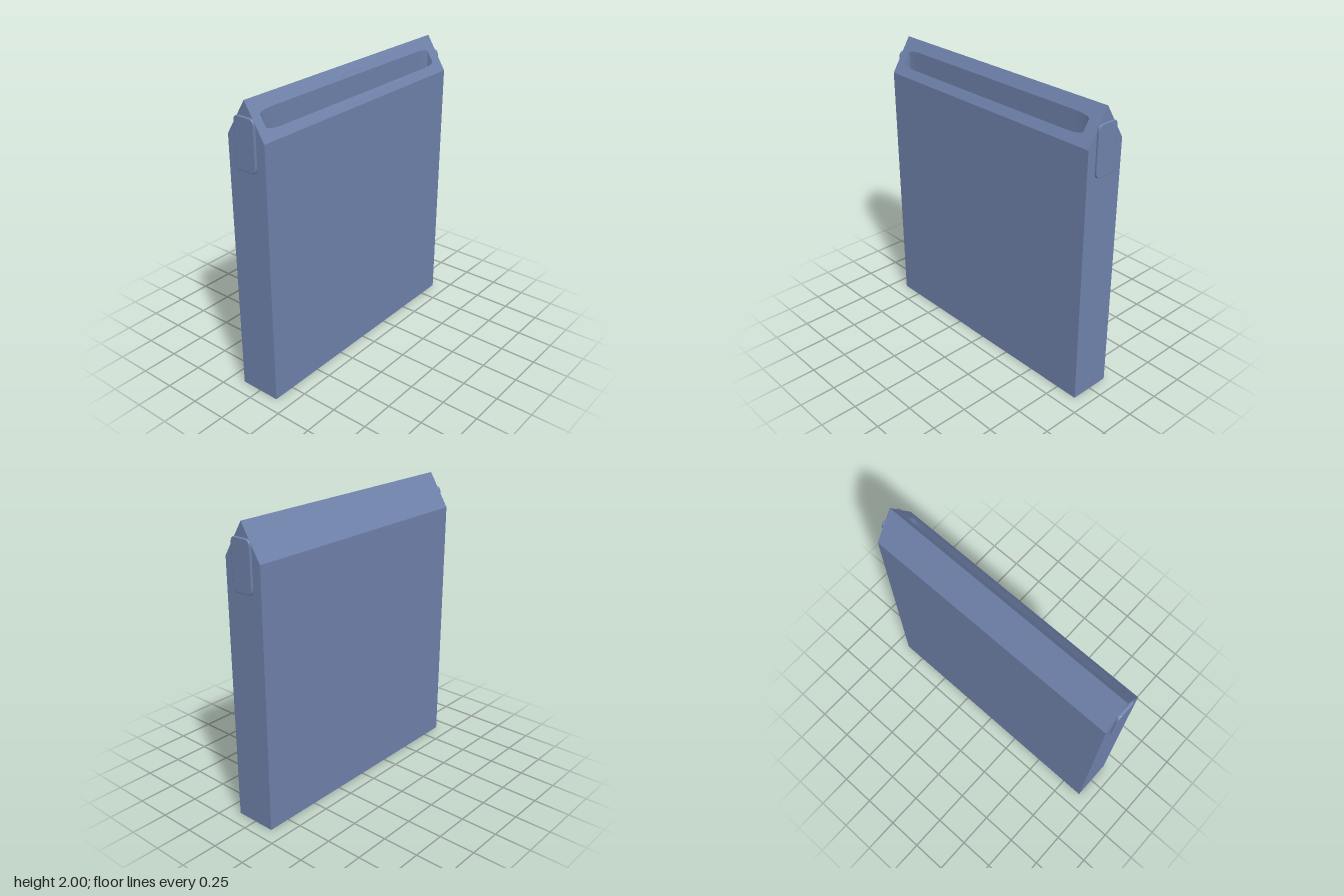
import * as THREE from 'three';

const W = 0.905, D = 0.145, SHOULDER = 1.77, TOP = 2;
const SLOPE = (TOP - SHOULDER) / D;
const FLOOR = 1.0; // bottom of the slot pocket

// Flat-shaded surface from quads, corners counter-clockwise
function quads(list) {
  const pos = [];
  for (const [a, b, c, d] of list) pos.push(...a, ...b, ...c, ...a, ...c, ...d);
  const g = new THREE.BufferGeometry();
  g.setAttribute('position', new THREE.Float32BufferAttribute(pos, 3));
  g.computeVertexNormals();
  return g;
}

// Shape drawn in (x, -z), lifted to height y(z)
function plan(shape, height) {
  const g = new THREE.ShapeGeometry(shape, 8), p = g.attributes.position;
  for (let i = 0; i < p.count; i++) {
    const z = -p.getY(i);
    p.setXYZ(i, p.getX(i), height(z), z);
  }
  g.computeVertexNormals();
  return g;
}

function roundedRect(x0, y0, x1, y1, rx, ry, nose = 0) {
  // nose: extra inset of the corner curve's control point
  const s = new THREE.Shape();
  s.moveTo(x0 + rx, y0);
  s.lineTo(x1 - rx, y0);
  s.quadraticCurveTo(x1 - nose, y0, x1, y0 + ry);
  s.lineTo(x1, y1 - ry);
  s.quadraticCurveTo(x1 - nose, y1, x1 - rx, y1);
  s.lineTo(x0 + rx, y1);
  s.quadraticCurveTo(x0 + nose, y1, x0, y1 - ry);
  s.lineTo(x0, y0 + ry);
  s.quadraticCurveTo(x0 + nose, y0, x0 + rx, y0);
  return s;
}

export function createModel() {
  const root = new THREE.Group();
  root.name = 'slottedCase';
  const mat = new THREE.MeshStandardMaterial({ color: 0x6f82ab });
  const add = (name, geo, parent = root) => {
    const m = new THREE.Mesh(geo, mat);
    m.name = name;
    parent.add(m);
    return m;
  };
  const slopeY = z => TOP - SLOPE * z;

  // Case walls: every side of the profile except the slotted front slope
  const profile = [[D, SHOULDER], [D, 0], [-D, 0], [-D, SHOULDER], [0, TOP]];
  const walls = [];
  for (let i = 0; i < 4; i++) {
    const [pz, py] = profile[i], [qz, qy] = profile[i + 1];
    walls.push([[-W, qy, qz], [W, qy, qz], [W, py, pz], [-W, py, pz]]);
  }
  add('caseWalls', quads(walls));

  // Front slope with the slot opening
  const slot = roundedRect(-0.84, -0.11, 0.82, -0.045, 0.13, 0.011, 0.02);
  const panel = new THREE.Shape([[-W, -D], [W, -D], [W, 0], [-W, 0]].map(p => new THREE.Vector2(...p)));
  panel.holes.push(slot);
  add('frontSlope', plan(panel, slopeY));

  // Pocket below the slot
  const rim = slot.getPoints(8);
  const pocket = rim.map((a, i) => {
    const b = rim[(i + 1) % rim.length];
    return [[b.x, FLOOR, -b.y], [a.x, FLOOR, -a.y], [a.x, slopeY(-a.y), -a.y], [b.x, slopeY(-b.y), -b.y]];
  }).filter(([b, a]) => Math.hypot(a[0] - b[0], a[2] - b[2]) > 1e-6);
  add('slotWalls', quads(pocket));
  add('slotFloor', plan(slot, () => FLOOR));

  // End walls and raised side tabs, mirrored
  const end = new THREE.Shape(profile.map(p => new THREE.Vector2(...p)));
  const bevel = 0.005;
  const tab = roundedRect(-0.075, 1.575, 0.075, 1.9, 0.03, 0.04);
  for (const [side, s] of [['left', 1], ['right', -1]]) {
    const group = new THREE.Group();
    group.name = side + 'Side';
    group.rotation.y = s * Math.PI / 2;
    group.position.x = s * W;
    add(side + 'EndWall', new THREE.ShapeGeometry(end), group);
    add(side + 'Tab', new THREE.ExtrudeGeometry(tab, {
      depth: 0.01, bevelEnabled: true, bevelSize: bevel, bevelThickness: bevel, bevelSegments: 2, curveSegments: 8,
    }), group);
    root.add(group);
  }
  return root;
}
